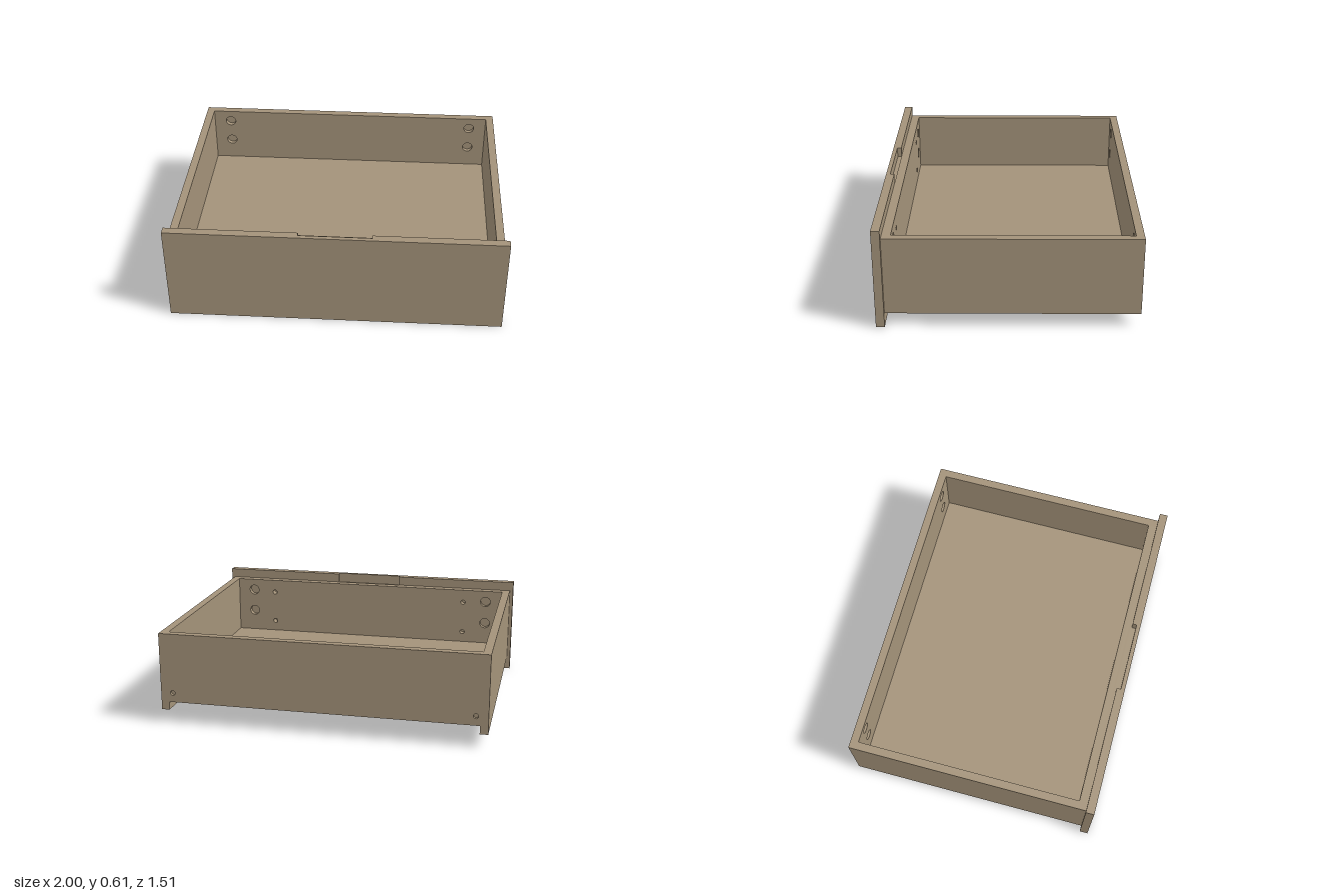
import * as THREE from 'three';

export function createModel() {
  const model = new THREE.Group();
  const wood = new THREE.MeshStandardMaterial({ color: 0xa39279 });
  wood.name = 'wood';

  function add(name, geometry) {
    const mesh = new THREE.Mesh(geometry, wood);
    mesh.name = name;
    model.add(mesh);
  }

  // Box given by its lower and upper corners
  function block(name, x0, x1, y0, y1, z0, z1) {
    const g = new THREE.BoxGeometry(x1 - x0, y1 - y0, z1 - z0);
    g.translate((x0 + x1) / 2, (y0 + y1) / 2, (z0 + z1) / 2);
    add(name, g);
  }

  // Upright board between the sides; each hole [x, y, radius] is mirrored
  function drilledBoard(name, y0, z0, z1, holes) {
    const shape = new THREE.Shape([
      new THREE.Vector2(-INNER, y0), new THREE.Vector2(INNER, y0),
      new THREE.Vector2(INNER, TOP), new THREE.Vector2(-INNER, TOP),
    ]);
    for (const [x, y, r] of holes) {
      for (const side of [-1, 1]) {
        shape.holes.push(new THREE.Path().absarc(side * x, y, r, 0, Math.PI * 2, true));
      }
    }
    const g = new THREE.ExtrudeGeometry(shape, { depth: z1 - z0, bevelEnabled: false, curveSegments: 20 });
    g.translate(0, 0, z0);
    add(name, g);
  }

  const OUTER = 0.978, INNER = 0.93, BASE = 0.08, TOP = 0.555;
  const BACK = -0.757, FRONT = 0.707, RECESS = 0.13;
  const camHoles = [[0.82, 0.48, 0.033], [0.82, 0.33, 0.033]];
  const screwHoles = [[0.668, 0.47, 0.015], [0.668, 0.26, 0.015]];
  const pinHoles = [[0.905, 0.187, 0.015]];

  // Side walls, full length
  block('leftSide', INNER, OUTER, BASE, TOP, BACK, FRONT);
  block('rightSide', -OUTER, -INNER, BASE, TOP, BACK, FRONT);

  // Bottom panel, raised above the lower edge of the sides
  block('bottomPanel', -INNER, INNER, RECESS, 0.19, -0.71, 0.655);

  // Back wall in two layers: blind fitting holes inside, pin holes outside
  drilledBoard('backWallInner', RECESS, -0.737, -0.709, camHoles);
  drilledBoard('backWallOuter', RECESS, BACK, -0.737, pinHoles);

  // Inner front wall: fitting holes and screw holes towards the inside
  drilledBoard('frontWallInner', BASE, 0.655, 0.69, [...camHoles, ...screwHoles]);
  drilledBoard('frontWallOuter', BASE, 0.69, FRONT, screwHoles);

  // Front panel, with a finger notch cut in its upper rear edge
  const z1 = 0.757, notch = 0.215, seat = 0.55;
  block('frontPanel', -1, 1, 0, seat, FRONT, z1);
  const plan = new THREE.Shape([
    [-1, -z1], [1, -z1], [1, -FRONT], [notch, -FRONT], [notch, -0.732],
    [-notch, -0.732], [-notch, -FRONT], [-1, -FRONT],
  ].map(([x, y]) => new THREE.Vector2(x, y)));
  const upper = new THREE.ExtrudeGeometry(plan, { depth: 0.612 - seat, bevelEnabled: false });
  upper.rotateX(-Math.PI / 2).translate(0, seat, 0);
  add('frontPanelGrip', upper);

  return model;
}
